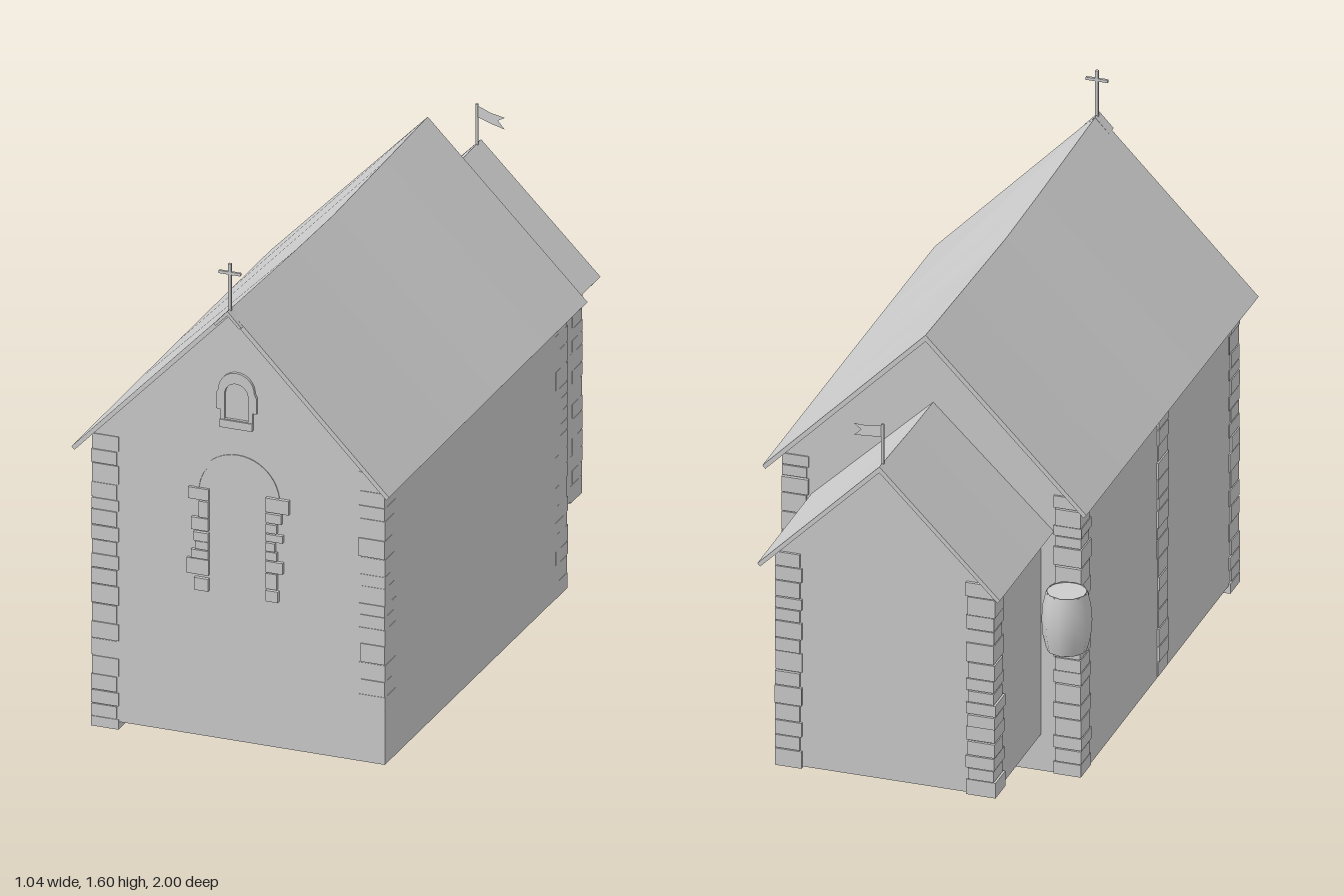
import * as THREE from 'three';

const CX = 0.005; // ridge line
const mat = new THREE.MeshStandardMaterial({ color: 0xcccccc, side: THREE.DoubleSide });

let seed = 7;
const rnd = () => (seed = (seed * 16807) % 2147483647) / 2147483647;

function add(parent, name, geo, x = 0, y = 0, z = 0) {
  const m = new THREE.Mesh(geo, mat);
  m.name = name;
  m.position.set(x, y, z);
  parent.add(m);
  return m;
}

// Box given by its limits on each axis
function block(parent, name, x0, x1, y0, y1, z0, z1) {
  return add(parent, name, new THREE.BoxGeometry(x1 - x0, y1 - y0, z1 - z0),
    (x0 + x1) / 2, (y0 + y1) / 2, (z0 + z1) / 2);
}

function group(parent, name) {
  const g = new THREE.Group();
  g.name = name;
  parent.add(g);
  return g;
}

// Open-bottomed walls with a gable at each listed z
function walls(parent, name, x0, x1, y0, yEave, yTop, zFront, zBack, gables) {
  const g = group(parent, name);
  const s = new THREE.Shape();
  s.moveTo(x0, y0).lineTo(x1, y0).lineTo(x1, yEave).lineTo(CX, yTop).lineTo(x0, yEave);
  for (const z of gables) {
    const geo = new THREE.ShapeGeometry(s);
    if (z === zBack) geo.scale(-1, 1, 1).rotateY(Math.PI);
    // turning the mirrored gable keeps its outline but faces it backwards
    if (z === zBack) {
      const idx = geo.index.array;
      for (let i = 0; i < idx.length; i += 3) [idx[i], idx[i + 1]] = [idx[i + 1], idx[i]];
      const n = geo.attributes.normal;
      for (let i = 0; i < n.count; i++) n.setXYZ(i, 0, 0, -1);
    }
    add(g, 'gableWall', geo, 0, 0, z);
  }
  for (const [x, turn] of [[x0, -1], [x1, 1]]) {
    const geo = new THREE.PlaneGeometry(zFront - zBack, yEave - y0).rotateY(turn * Math.PI / 2);
    add(g, 'sideWall', geo, x, (y0 + yEave) / 2, (zFront + zBack) / 2);
  }
}

// Pitched roof slab swept along z; stations are [z, ridgeHeight, eaveHeight]
function roof(parent, name, x0, x1, t, stations) {
  const rings = stations.map(([z, r, e]) => [
    [x0, e, z], [CX, r, z], [x1, e, z], [x1 - t * 0.6, e - t * 0.7, z], [CX, r - t * 1.4, z], [x0 + t * 0.6, e - t * 0.7, z],
  ]);
  const pos = [];
  const tri = (...p) => p.forEach((v) => pos.push(...v));
  for (let k = 0; k < rings.length - 1; k++) {
    const A = rings[k], B = rings[k + 1];
    for (let i = 0; i < 6; i++) {
      const j = (i + 1) % 6;
      tri(A[i], A[j], B[j]);
      tri(A[i], B[j], B[i]);
    }
  }
  const F = rings[0], L = rings[rings.length - 1];
  for (const [a, b, c] of [[0, 5, 4], [0, 4, 1], [1, 4, 3], [1, 3, 2]]) {
    tri(F[a], F[b], F[c]);
    tri(L[a], L[c], L[b]);
  }
  const geo = new THREE.BufferGeometry();
  geo.setAttribute('position', new THREE.Float32BufferAttribute(pos, 3));
  geo.computeVertexNormals();
  add(parent, name, geo);
}

// Column of irregular corner stones; sx and sz point outwards, px and pz are the largest projections
function quoins(parent, name, x, z, sx, sz, y0, y1, px, pz) {
  const g = group(parent, name);
  let y = y0;
  for (let i = 0; y < y1 - 0.015; i++) {
    const top = Math.min(y1, y + 0.035 + rnd() * 0.03);
    const ox = x + sx * px * (0.35 + 0.65 * rnd()), oz = z + sz * pz * (0.35 + 0.65 * rnd());
    const ix = x - sx * (0.083 - (i % 2) * 0.006), iz = z - sz * (0.085 - (i % 2) * 0.015);
    block(g, 'cornerStone', Math.min(ox, ix), Math.max(ox, ix), y, top - 0.003, Math.min(oz, iz), Math.max(oz, iz));
    y = top;
  }
}

export function createModel() {
  const root = new THREE.Group();
  root.name = 'chapel';

  // Nave and the lower, smaller chancel behind it
  walls(root, 'naveWalls', -0.46, 0.48, 0.025, 0.952, 1.43, 0.92, -0.51, [0.92, -0.51]);
  walls(root, 'chancelWalls', -0.335, 0.35, 0.145, 0.85, 1.19, -0.51, -0.945, [-0.945]);
  roof(root, 'naveRoof', -0.503, 0.52, 0.015,
    [[0.985, 1.452, 0.926], [0.45, 1.436, 0.93], [0.15, 1.431, 0.932], [-0.25, 1.443, 0.934], [-0.58, 1.453, 0.935]]);
  roof(root, 'chancelRoof', -0.376, 0.39, 0.014, [[-0.505, 1.197, 0.828], [-0.7, 1.2, 0.828], [-1, 1.212, 0.828]]);

  // Corner stones
  quoins(root, 'naveFrontRightQuoins', -0.46, 0.92, -1, 1, 0.0, 0.955, 0.006, 0.005);
  quoins(root, 'naveBackRightQuoins', -0.46, -0.51, -1, -1, 0.025, 0.955, 0.006, 0.012);
  quoins(root, 'naveFrontLeftQuoins', 0.48, 0.92, 1, 1, 0.2, 0.97, 0.001, 0.004);
  quoins(root, 'naveBackLeftQuoins', 0.48, -0.51, 1, -1, 0.025, 0.955, 0.001, 0.012);
  quoins(root, 'chancelRightQuoins', -0.335, -0.945, -1, -1, 0.14, 0.855, 0.01, 0.01);
  quoins(root, 'chancelLeftQuoins', 0.35, -0.945, 1, -1, 0.14, 0.855, 0.001, 0.01);

  // Stone strip halfway along the right wall
  const strip = group(root, 'wallStrip');
  for (let y = 0.03; y < 0.93;) {
    const h = 0.035 + rnd() * 0.03, w = 0.04 + rnd() * 0.012;
    block(strip, 'stripStone', -0.463 - rnd() * 0.004, -0.44, y, Math.min(y + h - 0.003, 0.94), 0.23 - w, 0.23 + w);
    y += h;
  }

  // Small arched gable window: surround and sill
  const upper = group(root, 'gableWindow');
  const frame = new THREE.Shape();
  frame.moveTo(-0.052, 1.065).lineTo(-0.052, 1.1).lineTo(-0.065, 1.1).lineTo(-0.065, 1.15).lineTo(-0.058, 1.165);
  frame.absarc(0, 1.165, 0.058, Math.PI, 0, true);
  frame.lineTo(0.065, 1.15).lineTo(0.065, 1.1).lineTo(0.052, 1.1).lineTo(0.052, 1.065);
  const opening = new THREE.Path();
  opening.moveTo(-0.038, 1.07).lineTo(0.038, 1.07).lineTo(0.038, 1.15);
  opening.absarc(0, 1.15, 0.038, 0, Math.PI, false);
  frame.holes.push(opening);
  add(upper, 'surround', new THREE.ExtrudeGeometry(frame, { depth: 0.025, bevelEnabled: false, curveSegments: 8 }), CX, 0, 0.905);
  block(upper, 'sill', -0.047, 0.057, 1.043, 1.068, 0.9, 0.934);

  // Large window: uneven jamb stones [outer edge, bottom, top] and a thin arch
  const lower = group(root, 'frontWindow');
  const jambs = {
    right: [[-0.13, 0.5, 0.54], [-0.155, 0.55, 0.6], [-0.14, 0.603, 0.63], [-0.128, 0.633, 0.658], [-0.132, 0.66, 0.688],
      [-0.14, 0.695, 0.735], [-0.115, 0.738, 0.79], [-0.15, 0.793, 0.83]],
    left: [[0.14, 0.5, 0.535], [0.135, 0.54, 0.59], [0.155, 0.594, 0.63], [0.135, 0.633, 0.66], [0.13, 0.663, 0.69],
      [0.155, 0.695, 0.718], [0.135, 0.722, 0.75], [0.15, 0.755, 0.785], [0.175, 0.79, 0.835]],
  };
  for (const [side, stones] of Object.entries(jambs)) {
    const inner = side === 'right' ? -0.085 : 0.1;
    for (const [x, y0, y1] of stones) {
      block(lower, side + 'JambStone', Math.min(x, inner), Math.max(x, inner), y0, y1, 0.9, 0.929 + rnd() * 0.004);
    }
  }
  const arch = new THREE.Shape();
  arch.absarc(0, 0.82, 0.135, 0, Math.PI, false);
  arch.absarc(0, 0.82, 0.125, Math.PI, 0, true);
  add(lower, 'arch', new THREE.ExtrudeGeometry(arch, { depth: 0.015, bevelEnabled: false, curveSegments: 12 }), 0.007, 0, 0.908);

  // Cross with a small cap over the front of the ridge
  const cross = group(root, 'cross');
  block(cross, 'post', 0, 0.01, 1.43, 1.6, 0.974, 0.984);
  block(cross, 'bar', -0.03, 0.04, 1.565, 1.574, 0.975, 0.983);
  const cap = new THREE.Shape();
  cap.moveTo(-0.045, 1.405).lineTo(0, 1.453).lineTo(0.045, 1.405).lineTo(0.038, 1.4).lineTo(0, 1.438).lineTo(-0.038, 1.4);
  add(cross, 'ridgeCap', new THREE.ExtrudeGeometry(cap, { depth: 0.04, bevelEnabled: false }), CX, 0, 0.96);

  // Swallow-tailed weather vane on the chancel ridge
  const vane = group(root, 'weatherVane');
  add(vane, 'pole', new THREE.CylinderGeometry(0.005, 0.005, 0.14, 6), CX, 1.27, -0.968);
  const flag = new THREE.Shape();
  flag.moveTo(0, 1.335).lineTo(0.05, 1.322).lineTo(0.1, 1.318).lineTo(0.075, 1.303).lineTo(0.1, 1.28).lineTo(0.05, 1.287).lineTo(0, 1.298);
  add(vane, 'flag', new THREE.ShapeGeometry(flag), CX, 0, -0.968).rotation.y = -0.2;

  // Barrel hanging at the back corner of the nave
  const profile = [[0, 0.497], [0.062, 0.497], [0.072, 0.54], [0.076, 0.593], [0.072, 0.645], [0.062, 0.688]]
    .map(([r, y]) => new THREE.Vector2(r, y));
  const barrel = group(root, 'barrel');
  add(barrel, 'staves', new THREE.LatheGeometry(profile.slice(1), 10), -0.45, 0, -0.605);
  for (const [y, turn] of [[0.497, 1], [0.685, -1]]) {
    add(barrel, 'barrelEnd', new THREE.CircleGeometry(0.062, 10).rotateX(turn * Math.PI / 2), -0.45, y, -0.605);
  }
  return root;
}
